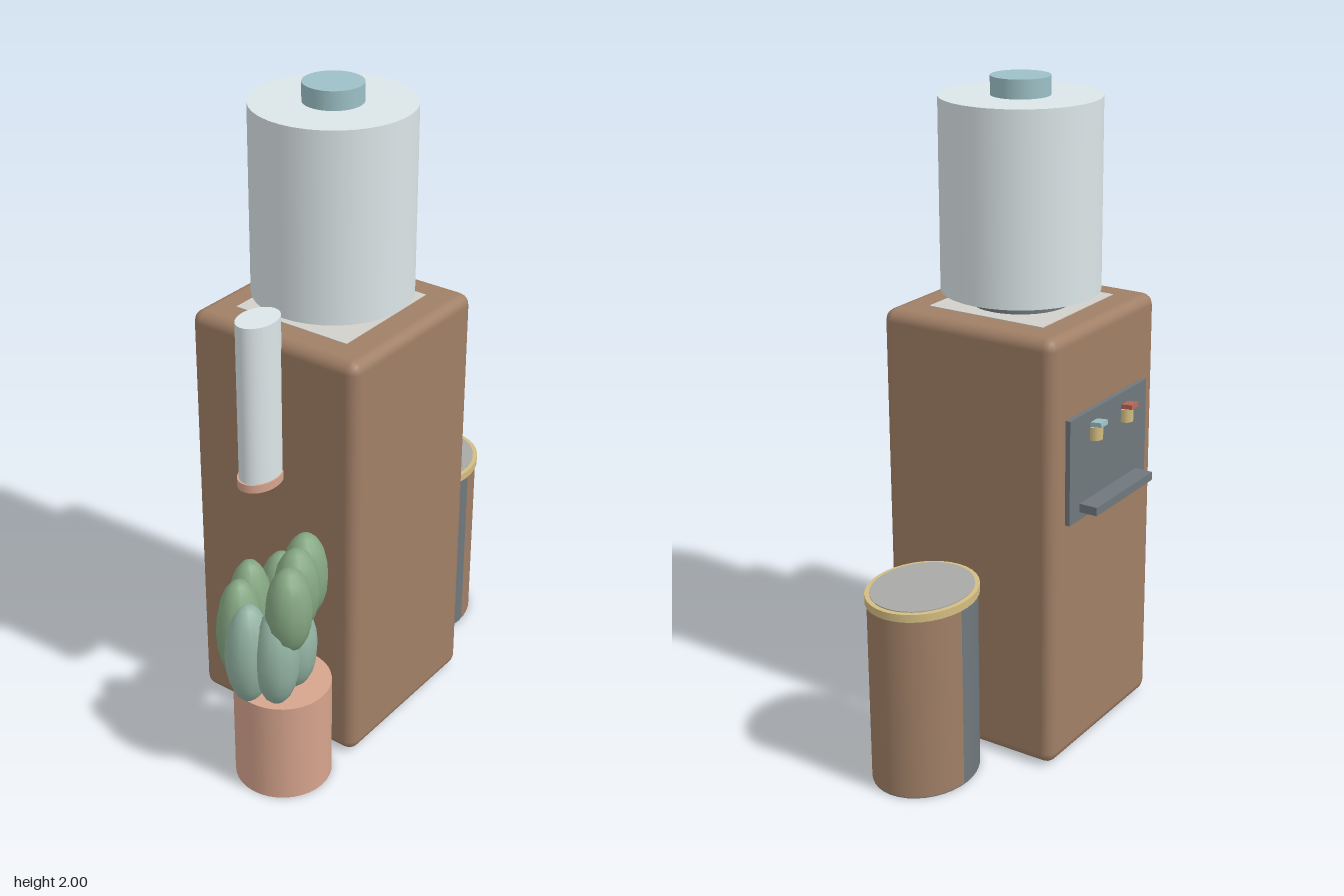
import * as THREE from 'three';
import { RoundedBoxGeometry } from 'three/addons/geometries/RoundedBoxGeometry.js';

const material = (color, side = THREE.FrontSide) => new THREE.MeshStandardMaterial({ color, side });
const brown = material(0xa07f66);
const slate = material(0x6f787d);
const paleBlue = material(0xdce6e8);
const teal = material(0x9cc0c6);
const terracotta = material(0xd6a48d);
const cactusGreen = material(0x85a782);
const cactusPale = material(0x93b3a3);
const brass = material(0xd3bd82);
const hotRed = material(0xb8675a);
const plateWhite = material(0xd2d0ca);

export function createModel() {
  const model = new THREE.Group();

  const add = (name, geometry, mat, x, y, z, parent = model) => {
    const mesh = new THREE.Mesh(geometry, mat);
    mesh.name = name;
    mesh.position.set(x, y, z);
    parent.add(mesh);
    return mesh;
  };
  const group = (name) => {
    const g = new THREE.Group();
    g.name = name;
    model.add(g);
    return g;
  };
  // Upright elliptical drum between two heights
  const drum = (name, mat, x, z, y0, y1, rx, rz, parent, ...arc) => {
    const geometry = new THREE.CylinderGeometry(1, 1, y1 - y0, 36, 1, ...arc);
    geometry.scale(rx, 1, rz);
    return add(name, geometry, mat, x, (y0 + y1) / 2, z, parent);
  };

  // Cabinet with its top and bottom plates
  const cx = -0.015, cz = 0.034;
  add('cabinet', new RoundedBoxGeometry(0.585, 1.335, 0.585, 2, 0.035), brown, cx, 0.6725, cz);
  add('topPlate', new THREE.BoxGeometry(0.39, 0.004, 0.39), plateWhite, cx, 1.34, 0.03);
  add('basePlate', new THREE.BoxGeometry(0.5, 0.004, 0.5), slate, cx, 0.005, cz);

  // Water bottle
  const bottle = group('waterBottle');
  drum('bottleCollar', slate, cx, cz, 1.335, 1.385, 0.15, 0.15, bottle);
  drum('bottleBody', paleBlue, cx, cz, 1.38, 1.945, 0.236, 0.236, bottle);
  drum('bottleCap', teal, cx, cz, 1.94, 2.0, 0.087, 0.087, bottle);

  // Serving panel, drip tray and two taps
  const panel = group('servingPanel');
  add('panelPlate', new THREE.BoxGeometry(0.435, 0.32, 0.016), slate, -0.012, 0.93, -0.266, panel);
  add('dripTray', new THREE.BoxGeometry(0.325, 0.026, 0.065), slate, -0.012, 0.808, -0.299, panel);
  for (const [side, x, mat] of [['hot', -0.1, hotRed], ['cold', 0.076, teal]]) {
    const spout = new THREE.CylinderGeometry(0.023, 0.023, 0.04, 8);
    add(side + 'TapSpout', spout, brass, x, 1.02, -0.28, panel);
    const lever = add(side + 'TapLever', new THREE.BoxGeometry(0.038, 0.014, 0.04), mat, x, 1.049, -0.29, panel);
    lever.rotation.x = 0.1;
  }

  // Cup dispenser on the side wall
  const cups = group('cupDispenser');
  drum('cupTube', paleBlue, -0.353, 0.03, 0.925, 1.42, 0.076, 0.054, cups);
  drum('cupTubeRing', terracotta, -0.355, 0.03, 0.902, 0.928, 0.08, 0.058, cups);

  // Waste bin with a two-tone wall
  const bin = group('wasteBin');
  const bx = 0.467, bz = 0.06, tilt = 0.1;
  drum('binOuterWall', brown, bx, bz, 0.004, 0.58, 0.18, 0.15, bin, true, tilt, Math.PI - 2 * tilt);
  drum('binInnerWall', slate, bx, bz, 0.004, 0.58, 0.18, 0.15, bin, true, Math.PI - tilt, Math.PI + 2 * tilt);
  drum('binFloor', slate, bx, bz, 0, 0.006, 0.179, 0.149, bin);
  drum('binRim', brass, bx, bz, 0.573, 0.597, 0.185, 0.156, bin);
  drum('binLid', material(0xa9a9a6), bx, bz, 0.59, 0.6, 0.17, 0.142, bin);

  // Potted cactus: clustered egg-shaped lobes
  const plant = group('pottedCactus');
  drum('pot', terracotta, -0.463, 0.185, 0, 0.33, 0.145, 0.145, plant);
  const lobes = [
    // x, y, z, half height, material
    [-0.52, 0.64, 0.258, 0.137, cactusGreen],
    [-0.43, 0.64, 0.215, 0.137, cactusGreen],
    [-0.35, 0.635, 0.185, 0.14, cactusGreen],
    [-0.55, 0.52, 0.1, 0.17, cactusGreen],
    [-0.465, 0.52, 0.07, 0.18, cactusGreen],
    [-0.355, 0.53, 0.1, 0.15, cactusGreen],
    [-0.58, 0.48, 0.155, 0.165, cactusPale],
    [-0.545, 0.48, 0.23, 0.16, cactusPale],
    [-0.45, 0.46, 0.22, 0.14, cactusPale],
  ];
  for (const [x, y, z, h, mat] of lobes) {
    const egg = new THREE.SphereGeometry(1, 12, 10);
    egg.scale(0.077, h, 0.068);
    add('cactusLobe', egg, mat, x, y, z, plant).rotation.y = 0.35;
  }

  return model;
}
